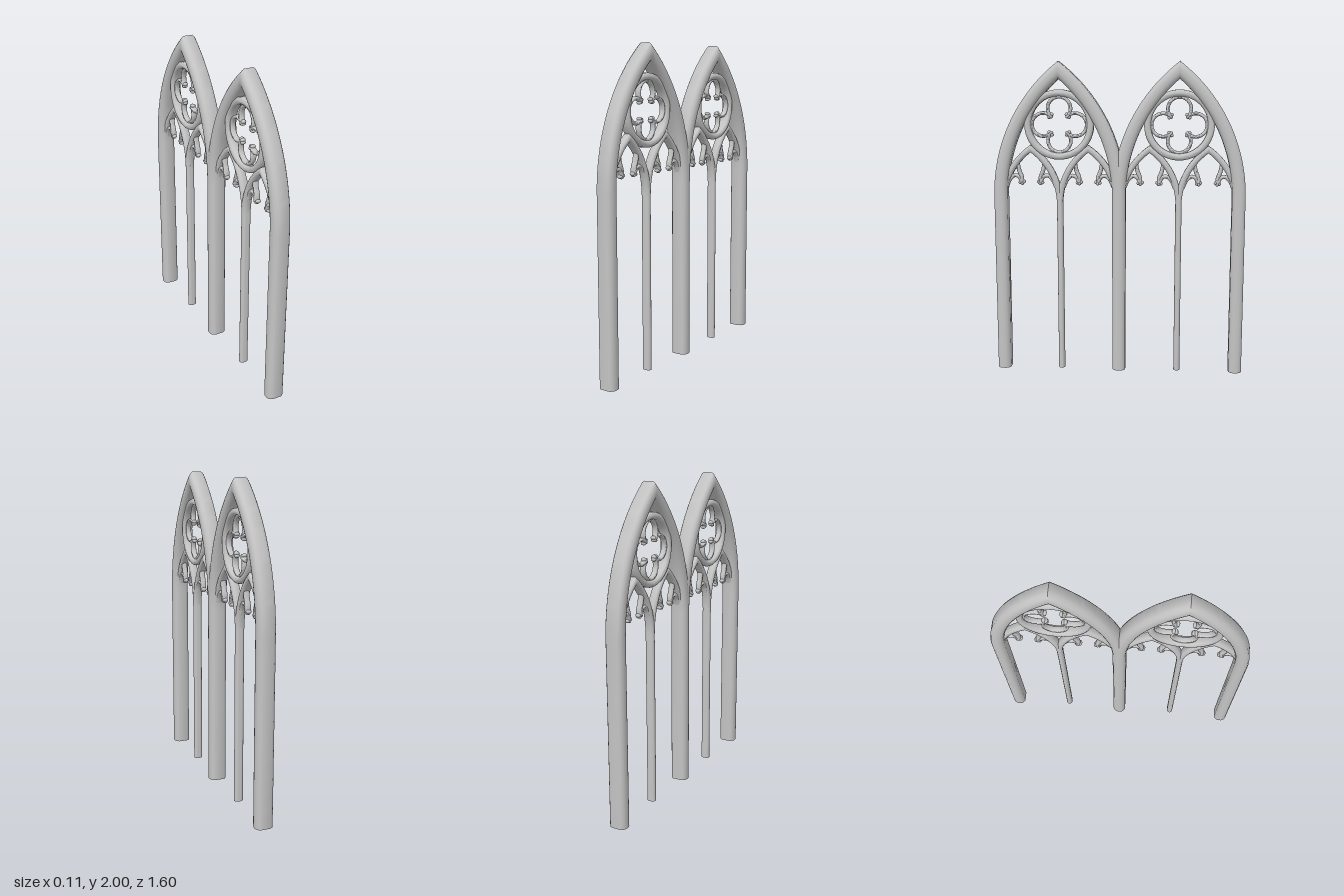
import * as THREE from 'three';
import { toCreasedNormals } from 'three/addons/utils/BufferGeometryUtils.js';

const stone = new THREE.MeshStandardMaterial({ color: 0xc4c4c4 });
stone.name = 'pale grey stone';

const SPRING = 1.15;      // where the main arches leave the posts
const BAY = 0.38;         // distance of each bay centre from the middle

// Four-way symmetric outline [width, depth] from one quarter
function mirrorQuarter(quarter, w, d) {
  const q = quarter.map(([a, b]) => [a * w, b * d]);
  const r = [...q].reverse();
  return [
    ...q,
    ...r.map(([a, b]) => [-a, b]),
    ...q.map(([a, b]) => [-a, -b]),
    ...r.map(([a, b]) => [a, -b]),
  ];
}
// Moulded stone: a flat side, a slight shoulder and a rounded face
const moulding = (w, d) => mirrorQuarter(
  [[1, 0.55], [0.93, 0.62], [0.84, 0.76], [0.58, 0.92], [0.25, 1]], w, d);
const softBar = (w, d) => mirrorQuarter(
  [[1, 0.25], [0.88, 0.58], [0.58, 0.88], [0.25, 1]], w, d);

// Sweep an outline along a path of [z, y] points, with mitred joints
function sweep(path, outline, closed = false) {
  const n = path.length, m = outline.length, pos = [], idx = [];
  const dir = (i) => {
    const a = path[(i + n) % n], b = path[(i + 1 + n) % n];
    return new THREE.Vector2(b[0] - a[0], b[1] - a[1]).normalize();
  };
  for (let i = 0; i < n; i++) {
    const before = dir(!closed && i === 0 ? 0 : i - 1);
    const after = dir(!closed && i === n - 1 ? n - 2 : i);
    const t = before.clone().add(after).normalize();
    const k = 1 / Math.max(0.4, t.dot(after));
    for (const [w, d] of outline)
      pos.push(d, path[i][1] - t.x * w * k, path[i][0] + t.y * w * k);
  }
  for (let i = 0; i < (closed ? n : n - 1); i++) {
    for (let j = 0; j < m; j++) {
      const i2 = (i + 1) % n, j2 = (j + 1) % m;
      const a = i * m + j, b = i * m + j2, c = i2 * m + j2, e = i2 * m + j;
      idx.push(a, b, c, a, c, e);
    }
  }
  if (!closed) {
    const last = (n - 1) * m, c0 = pos.length / 3;
    pos.push(0, path[0][1], path[0][0], 0, path[n - 1][1], path[n - 1][0]);
    for (let j = 0; j < m; j++) {
      const j2 = (j + 1) % m;
      idx.push(c0, j2, j, c0 + 1, last + j, last + j2);
    }
  }
  const g = new THREE.BufferGeometry();
  g.setAttribute('position', new THREE.Float32BufferAttribute(pos, 3));
  g.setIndex(idx);
  return toCreasedNormals(g, 0.9);
}

// Two-centred pointed arch: half span a, rise h, centre z, springing y
function pointedArch(a, h, z, y, steps) {
  const c = (h * h - a * a) / (2 * a), r = a + c, top = Math.asin(h / r);
  const half = [];
  for (let i = 0; i <= steps; i++) {
    const t = top * i / steps;
    half.push([r * Math.cos(t) - c, r * Math.sin(t)]);
  }
  half[steps][0] = 0;
  const other = half.slice(0, steps).reverse().map(([u, v]) => [-u, v]);
  return [...half, ...other].map(([u, v]) => [z + u, y + v]);
}

function arc(z, y, r, from, to, steps) {
  return Array.from({ length: steps + 1 }, (_, i) => {
    const t = from + (to - from) * i / steps;
    return [z + r * Math.cos(t), y + r * Math.sin(t)];
  });
}

function smooth(points, steps) {
  return new THREE.SplineCurve(points.map(([a, b]) => new THREE.Vector2(a, b)))
    .getPoints(steps).map((p) => [p.x, p.y]);
}

function add(parent, name, geometry) {
  const mesh = new THREE.Mesh(geometry, stone);
  mesh.name = name;
  parent.add(mesh);
  return mesh;
}

// Small three-lobed bud at the end of a cusp, pointing along an angle
const budGeometry = new THREE.SphereGeometry(0.012, 10, 8);
function addBud(parent, z, y, angle) {
  const bud = new THREE.Group();
  bud.name = 'cuspBud';
  for (const side of [-1, 0, 1]) {
    const t = angle + side * 1.5, reach = side ? 0.012 : 0.008;
    const lobe = add(bud, 'budLobe', budGeometry);
    lobe.position.set(0, y + Math.sin(t) * reach, z + Math.cos(t) * reach);
    lobe.scale.set(1.5, 1, 1);
  }
  parent.add(bud);
}

function makeBay() {
  const bay = new THREE.Group();
  bay.name = 'bay';

  // Both posts and the arch in one run; neighbouring bays share the middle post
  const frame = [[BAY, 0], ...pointedArch(BAY, 0.799, 0, SPRING, 28), [-BAY, 0]];
  add(bay, 'postsAndMainArch', sweep(frame, moulding(0.042, 0.056)));
  add(bay, 'mullion', sweep([[0, 0], [0, 1.12]], softBar(0.02, 0.028)));

  // Round window with four foils
  const cy = 1.607;
  add(bay, 'roundelRing',
    sweep(arc(0, cy, 0.2, 0, Math.PI * 2, 48).slice(0, 48), moulding(0.021, 0.034), true));
  for (let i = 0; i < 4; i++) {
    const a = i * Math.PI / 2, span = Math.PI * 0.74;
    const z = 0.102 * Math.cos(a), y = cy + 0.102 * Math.sin(a);
    add(bay, 'foil', sweep(arc(z, y, 0.073, a - span, a + span, 28), softBar(0.011, 0.018)));
    const d = a + Math.PI / 4;
    addBud(bay, 0.08 * Math.cos(d), cy + 0.08 * Math.sin(d), d + Math.PI);
  }

  // Pair of small arches with hooked cusps
  for (const side of [-1, 1]) {
    const z = side * 0.185;
    add(bay, 'smallArch', sweep(pointedArch(0.185, 0.355, z, 1.1, 16), moulding(0.019, 0.028)));
    for (const s of [-1, 1]) {
      const place = (pts) => pts.map(([u, v]) => [z + s * u, v]);
      add(bay, 'upperCusp', sweep(smooth(place(
        [[0.09, 1.385], [0.084, 1.345], [0.076, 1.31], [0.062, 1.275], [0.06, 1.24]]), 14),
      softBar(0.013, 0.018)));
      add(bay, 'lowerCusp', sweep(smooth(place(
        [[0.158, 1.21], [0.142, 1.25], [0.112, 1.28], [0.08, 1.275], [0.062, 1.24]]), 14),
      softBar(0.012, 0.018)));
      addBud(bay, z + s * 0.06, 1.24, -Math.PI / 2 - s * 0.2);
    }
  }
  return bay;
}

export function createModel() {
  const model = new THREE.Group();
  model.name = 'doubleTraceryWindow';

  // Two matching bays
  const bay = makeBay();
  for (const s of [-1, 1]) {
    const copy = s < 0 ? bay : bay.clone();
    copy.name = s < 0 ? 'backBay' : 'frontBay';
    copy.position.z = s * BAY;
    model.add(copy);
  }
  return model;
}
